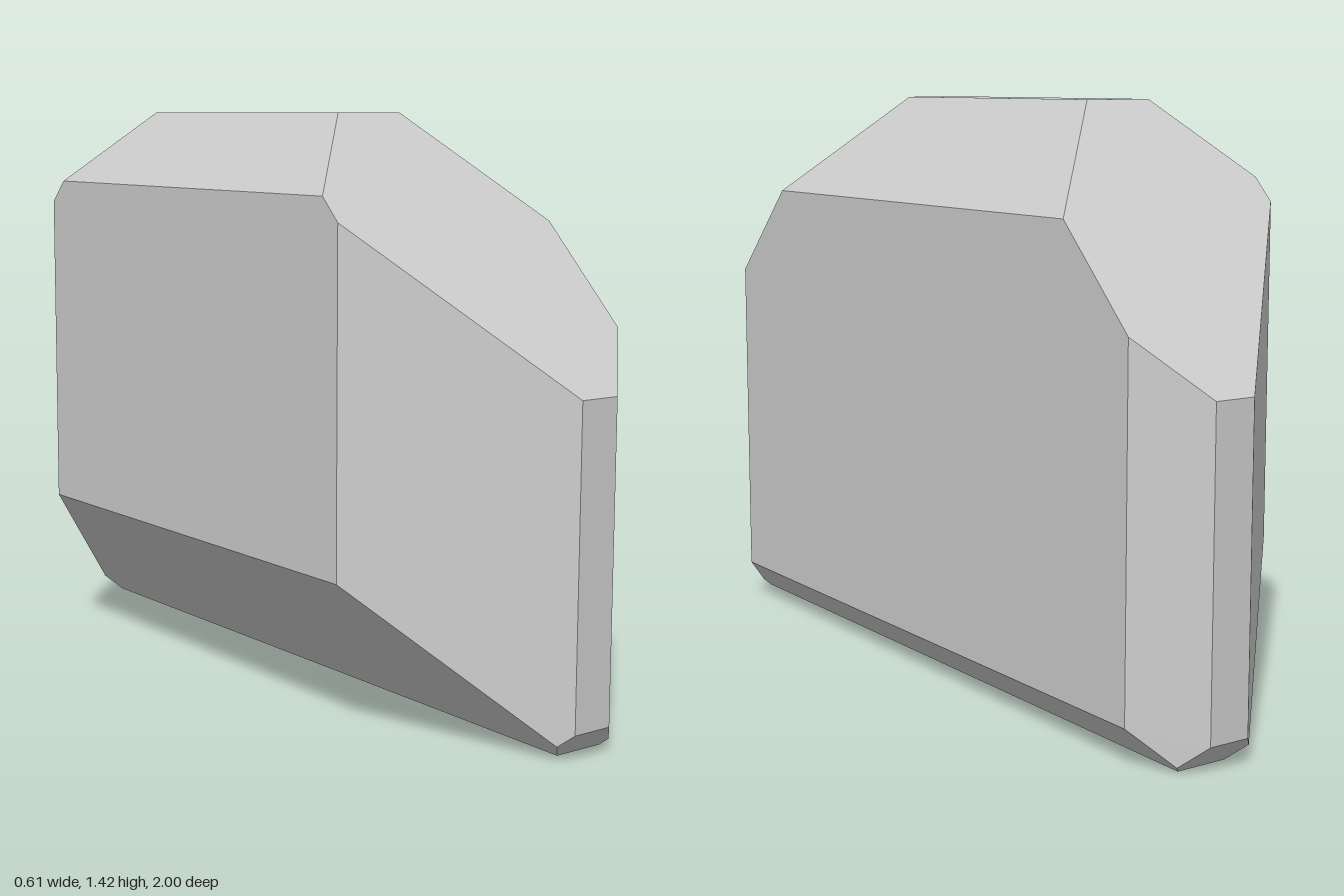
import * as THREE from 'three';
import { ConvexGeometry } from 'three/addons/geometries/ConvexGeometry.js';

// The block is the solid enclosed by bevel planes: normal . p <= limit.
function blockPlanes() {
  const planes = [
    // side walls, top and base
    [1, 0, 0, 0.305], [-1, 0, 0, 0.305], [0, 1, 0, 1.42], [0, -1, 0, 0],
    // long bevels running front to back
    [1, 1, 0, 1.475], [-1, 1, 0, 1.545], [1, -1, 0, 0.21], [-1, -1, 0, -0.08],
  ];
  // front and back ends with their bevels, mirrored in z
  for (const s of [1, -1]) {
    planes.push([0, 0, s, 1], [1, 0, s, 1.175], [-1, 0, s, 0.93], [0, 1, s, 1.81], [0, -1, s, 0.935]);
  }
  return planes.map(([x, y, z, d]) => ({ n: new THREE.Vector3(x, y, z), d }));
}

// Corners are the meeting points of three planes that lie inside all others.
function solidCorners(planes) {
  const corners = [];
  for (let i = 0; i < planes.length; i++) {
    for (let j = i + 1; j < planes.length; j++) {
      for (let k = j + 1; k < planes.length; k++) {
        const [a, b, c] = [planes[i], planes[j], planes[k]];
        const bc = b.n.clone().cross(c.n);
        const det = a.n.dot(bc);
        if (Math.abs(det) < 1e-6) continue;
        const p = bc.multiplyScalar(a.d)
          .addScaledVector(c.n.clone().cross(a.n), b.d)
          .addScaledVector(a.n.clone().cross(b.n), c.d)
          .divideScalar(det);
        const inside = planes.every(({ n, d }) => n.dot(p) <= d + 1e-6);
        if (inside && !corners.some((q) => q.distanceTo(p) < 1e-4)) corners.push(p);
      }
    }
  }
  return corners;
}

export function createModel() {
  const group = new THREE.Group();
  group.name = 'bevelledBlock';
  const material = new THREE.MeshStandardMaterial({ color: 0xcccccc, flatShading: true });
  const block = new THREE.Mesh(new ConvexGeometry(solidCorners(blockPlanes())), material);
  block.name = 'block';
  group.add(block);
  return group;
}
